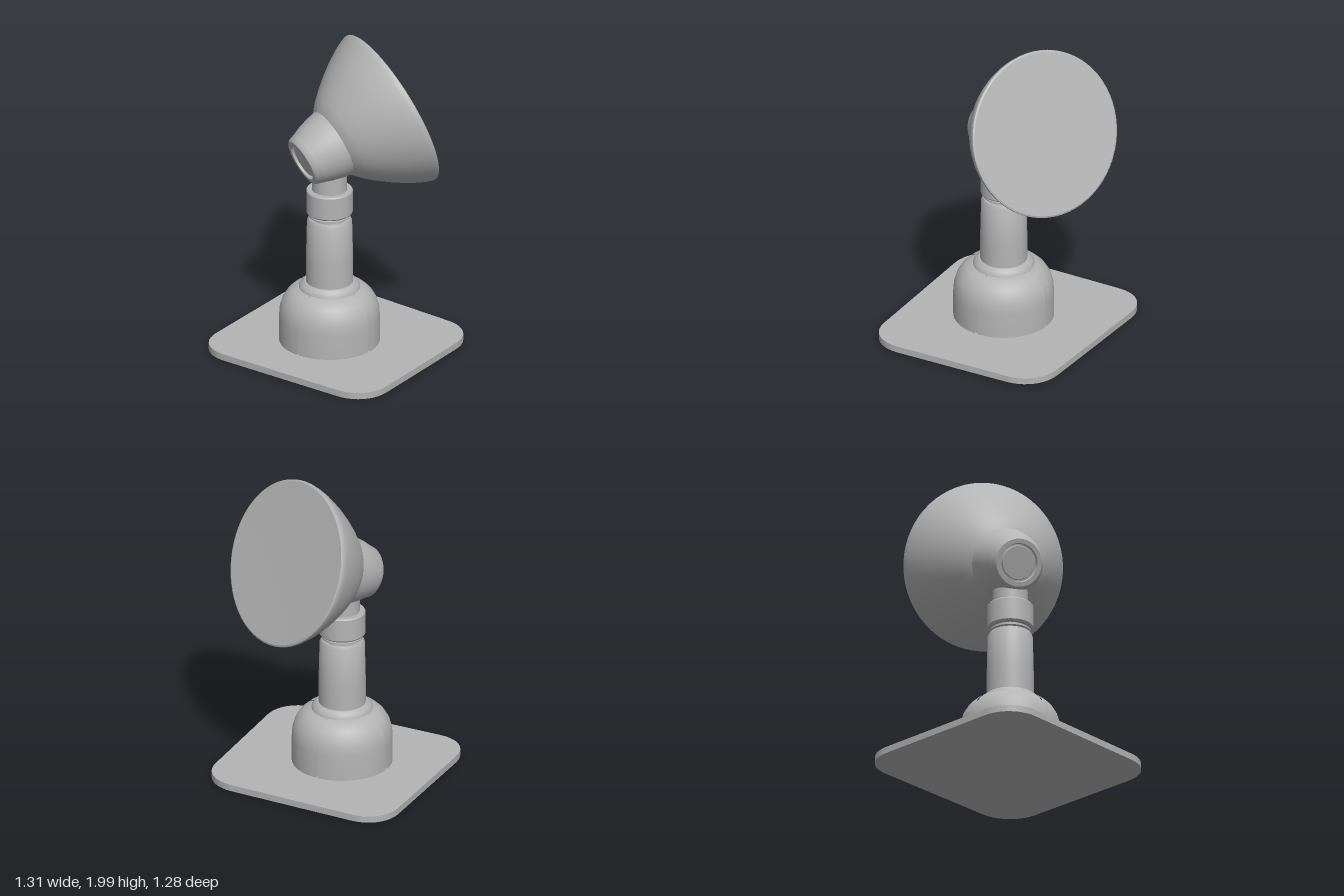
import * as THREE from 'three';
import { toCreasedNormals } from 'three/addons/utils/BufferGeometryUtils.js';

const grey = new THREE.MeshStandardMaterial({ color: 0xb4b4b4 });
grey.name = 'matte grey';

const vec = ([x, y]) => new THREE.Vector2(x, y);

// Turned part from [radius, height] pairs, listed from the bottom up
function turned(name, profile, segments = 48, start = 0, sweep = Math.PI * 2) {
  const lathe = new THREE.LatheGeometry(profile.map(vec), segments, start, sweep);
  const mesh = new THREE.Mesh(toCreasedNormals(lathe, 0.6), grey);
  mesh.name = name;
  return mesh;
}

// Slightly skewed square plate with rounded corners
function makePlate() {
  const corners = [[-0.66, -0.59], [0.64, -0.655], [0.66, 0.545], [-0.615, 0.66]].map(vec);
  const shape = new THREE.Shape();
  corners.forEach((c, i) => {
    const toward = (other) => c.clone().add(other.clone().sub(c).setLength(0.22));
    const a = toward(corners[(i + 3) % 4]);
    const b = toward(corners[(i + 1) % 4]);
    const ca = a.clone().lerp(c, 0.58);
    const cb = b.clone().lerp(c, 0.58);
    if (i === 0) shape.moveTo(a.x, a.y);
    else shape.lineTo(a.x, a.y);
    shape.bezierCurveTo(ca.x, ca.y, cb.x, cb.y, b.x, b.y);
  });
  shape.closePath();
  const geometry = new THREE.ExtrudeGeometry(shape, { depth: 0.042, bevelEnabled: false, curveSegments: 10 });
  geometry.rotateX(-Math.PI / 2);
  const mesh = new THREE.Mesh(toCreasedNormals(geometry, 0.6), grey);
  mesh.name = 'basePlate';
  return mesh;
}

// Domed foot: four shell quarters over a core, leaving narrow seams
function makeFoot() {
  const foot = new THREE.Group();
  foot.name = 'domedFoot';
  const dome = [[0.31, 0.04], [0.31, 0.2], [0.306, 0.255], [0.292, 0.305],
    [0.265, 0.35], [0.23, 0.383], [0.19, 0.397], [0.17, 0.4]];
  foot.add(turned('footCore', dome.map(([r, y]) => [r - 0.012, y - 0.006])));
  const gap = 0.022;
  for (let i = 0; i < 4; i++) {
    const start = -0.1 + i * Math.PI / 2 + gap;
    foot.add(turned('footShellQuarter', dome, 14, start, Math.PI / 2 - 2 * gap));
  }
  return foot;
}

// Post with shoulder ring, neck groove, collar and pivot
function makePost() {
  const post = new THREE.Group();
  post.name = 'post';
  post.add(
    turned('shoulderRing', [[0.19, 0.385], [0.188, 0.405], [0.175, 0.425], [0.155, 0.44], [0, 0.44]]),
    turned('column', [[0.145, 0.43], [0.145, 0.6], [0.139, 0.845], [0.128, 0.866], [0, 0.866]]),
    turned('grooveNeck', [[0.112, 0.86], [0.112, 0.91]]),
    turned('grooveRing', [[0.112, 0.872], [0.128, 0.878], [0.128, 0.89], [0.112, 0.896]]),
    turned('collar', [[0, 0.9], [0.135, 0.9], [0.143, 0.91], [0.143, 1.05], [0.137, 1.058], [0, 1.058]]),
    turned('pivot', [[0.108, 1.05], [0.108, 1.2], [0, 1.2]]),
  );
  return post;
}

// Lamp head, built along its own axis and then aimed
function makeHead() {
  const head = new THREE.Group();
  head.name = 'lampHead';
  head.add(
    turned('rearCap', [[0, 0.012], [0.102, 0.012], [0.106, 0.022], [0.116, 0.022], [0.12, 0],
      [0.148, 0], [0.16, 0.012], [0.172, 0.05]]),
    turned('housing', [[0.172, 0.05], [0.195, 0.11], [0.213, 0.18], [0.228, 0.27]]),
    turned('reflectorBowl', [[0.2, 0.225], [0.232, 0.24], [0.285, 0.29], [0.34, 0.355], [0.393, 0.425],
      [0.443, 0.5], [0.488, 0.58], [0.51, 0.63], [0.518, 0.655], [0.517, 0.666], [0.507, 0.672]], 64),
    turned('lampFace', [[0.507, 0.672], [0.3, 0.668], [0, 0.665]], 64),
  );
  const axis = new THREE.Vector3(0.45, 0.36, -0.817).normalize();
  head.quaternion.setFromUnitVectors(new THREE.Vector3(0, 1, 0), axis);
  head.position.set(0.172, 1.51, -0.34).addScaledVector(axis, -0.668);
  return head;
}

export function createModel() {
  const model = new THREE.Group();
  model.name = 'floodlightOnPost';
  const stand = new THREE.Group();
  stand.name = 'stand';
  stand.position.set(-0.028, 0, 0.05);
  stand.add(makeFoot(), makePost());
  model.add(makePlate(), stand, makeHead());
  return model;
}
